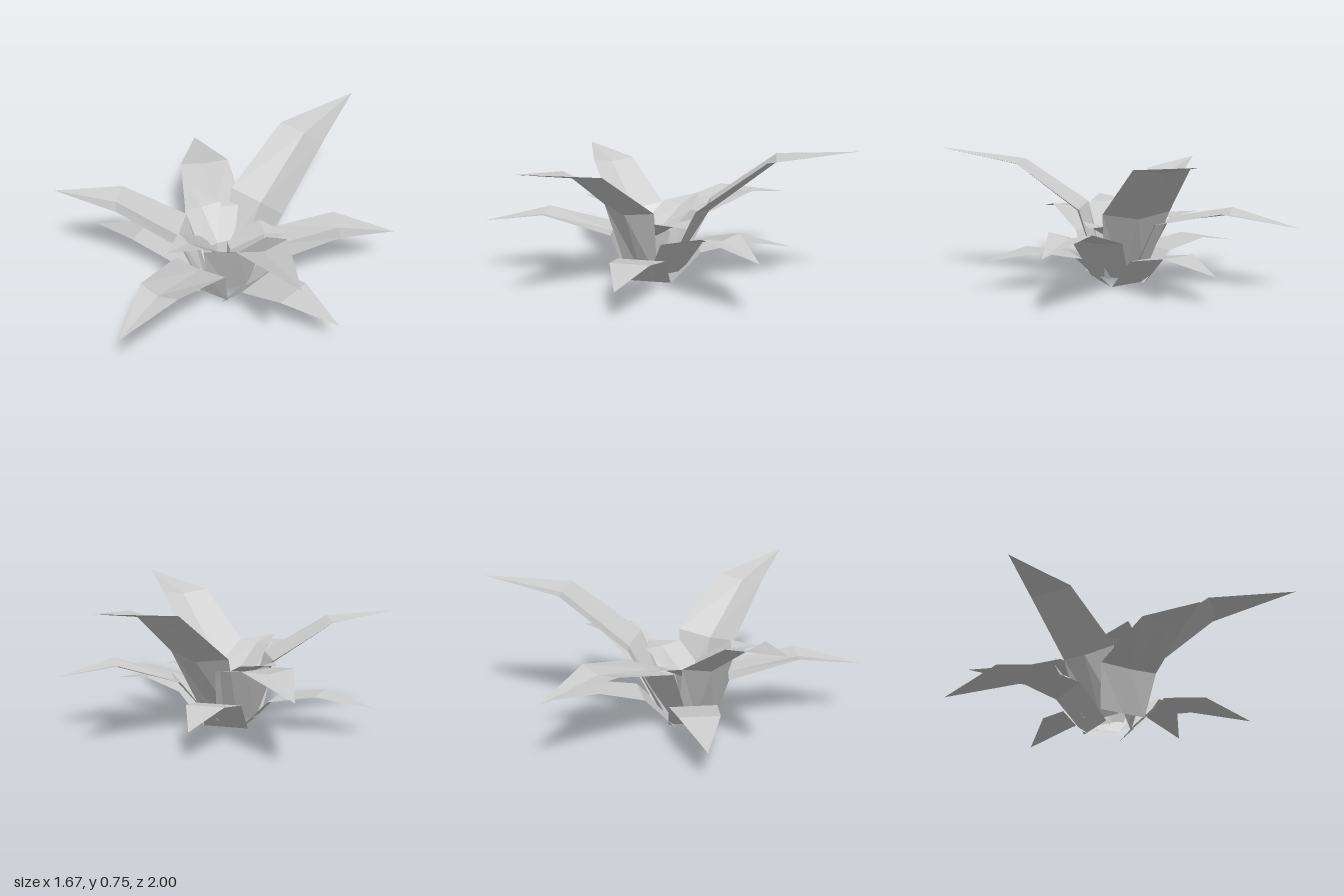
import * as THREE from 'three';

const material = new THREE.MeshStandardMaterial({ color: 0xcccccc, flatShading: true, side: THREE.DoubleSide });

// How far the midrib sinks below the edges at base, knee and bend, for each tier of leaves
const folds = {
  tall: [0, 0.045, 0.03],
  arching: [0, 0.012, 0.025],
  low: [0, 0, 0],
  inner: [0, 0.03, 0.02],
};

// One folded leaf: rows of [radius, height, half width] from base to bend, closing in a point.
// It grows along +x and is then turned to its heading (degrees, 0 = +x, 90 = +z).
function leaf(tier, side, heading, base, knee, bend, tip) {
  const length = Math.hypot(bend[0] - base[0], bend[1] - base[1]);
  const outX = (bend[1] - base[1]) / length;
  const outY = -(bend[0] - base[0]) / length;
  const positions = [];
  [base, knee, bend].forEach(([r, y, w], i) => {
    const f = folds[tier][i];
    positions.push(r, y, -w, r + outX * f, y + outY * f, 0, r, y, w);
  });
  positions.push(tip[0], tip[1], 0);

  const index = [];
  for (let row = 0; row < 2; row++) {
    for (let half = 0; half < 2; half++) {
      const a = row * 3 + half, b = a + 1, c = a + 3, d = a + 4;
      index.push(a, b, d, a, d, c);
    }
  }
  index.push(6, 7, 9, 7, 8, 9);

  const geometry = new THREE.BufferGeometry();
  geometry.setAttribute('position', new THREE.Float32BufferAttribute(positions, 3));
  geometry.setIndex(index);
  geometry.computeVertexNormals();
  const mesh = new THREE.Mesh(geometry, material);
  mesh.name = `${tier}${side}Leaf`;
  mesh.rotation.y = -THREE.MathUtils.degToRad(heading);
  return mesh;
}

export function createModel() {
  const plant = new THREE.Group();
  plant.name = 'leafyPlant';
  const rosette = new THREE.Group();
  rosette.name = 'leafRosette';
  rosette.position.set(-0.05, 0, 0.09);
  plant.add(rosette);

  rosette.add(
    // tall leaves
    leaf('tall', 'Back', -90, [0.09, 0.04, 0.11], [0.28, 0.42, 0.185], [0.645, 0.69, 0.15], [1.09, 0.745]),
    leaf('tall', 'Left', 25.5, [0.09, 0.04, 0.11], [0.19, 0.415, 0.175], [0.535, 0.655, 0.135], [0.985, 0.725]),
    leaf('tall', 'Right', 140, [0.09, 0.04, 0.11], [0.2, 0.365, 0.155], [0.53, 0.565, 0.12], [0.87, 0.61]),
    // arching leaves
    leaf('arching', 'Front', 79.7, [0.14, 0.045, 0.125], [0.21, 0.268, 0.155], [0.575, 0.363, 0.115], [0.92, 0.3]),
    leaf('arching', 'Right', 217.5, [0.1, 0.045, 0.11], [0.25, 0.35, 0.16], [0.6, 0.42, 0.135], [0.985, 0.345]),
    leaf('arching', 'Left', -48.3, [0.12, 0.045, 0.11], [0.3, 0.27, 0.145], [0.62, 0.365, 0.118], [0.935, 0.295]),
    // low spreading leaves
    leaf('low', 'Right', 165, [0.09, 0, 0.11], [0.25, 0.165, 0.125], [0.5, 0.21, 0.105], [0.8, 0.15]),
    leaf('low', 'Back', 250, [0.09, 0, 0.12], [0.25, 0.165, 0.125], [0.485, 0.21, 0.1], [0.765, 0.15]),
    leaf('low', 'Left', -1.7, [0.09, 0, 0.12], [0.25, 0.165, 0.13], [0.49, 0.21, 0.105], [0.79, 0.155]),
    // small inner leaves
    leaf('inner', 'Front', 93, [0.01, 0.05, 0.07], [0.02, 0.28, 0.12], [0.215, 0.42, 0.1], [0.39, 0.435]),
    leaf('inner', 'Right', 202, [0.01, 0.05, 0.07], [0.03, 0.27, 0.1], [0.25, 0.37, 0.105], [0.43, 0.395]),
    leaf('inner', 'Left', -45.5, [0.01, 0.05, 0.07], [0.02, 0.26, 0.1], [0.21, 0.355, 0.115], [0.35, 0.345])
  );
  return plant;
}
